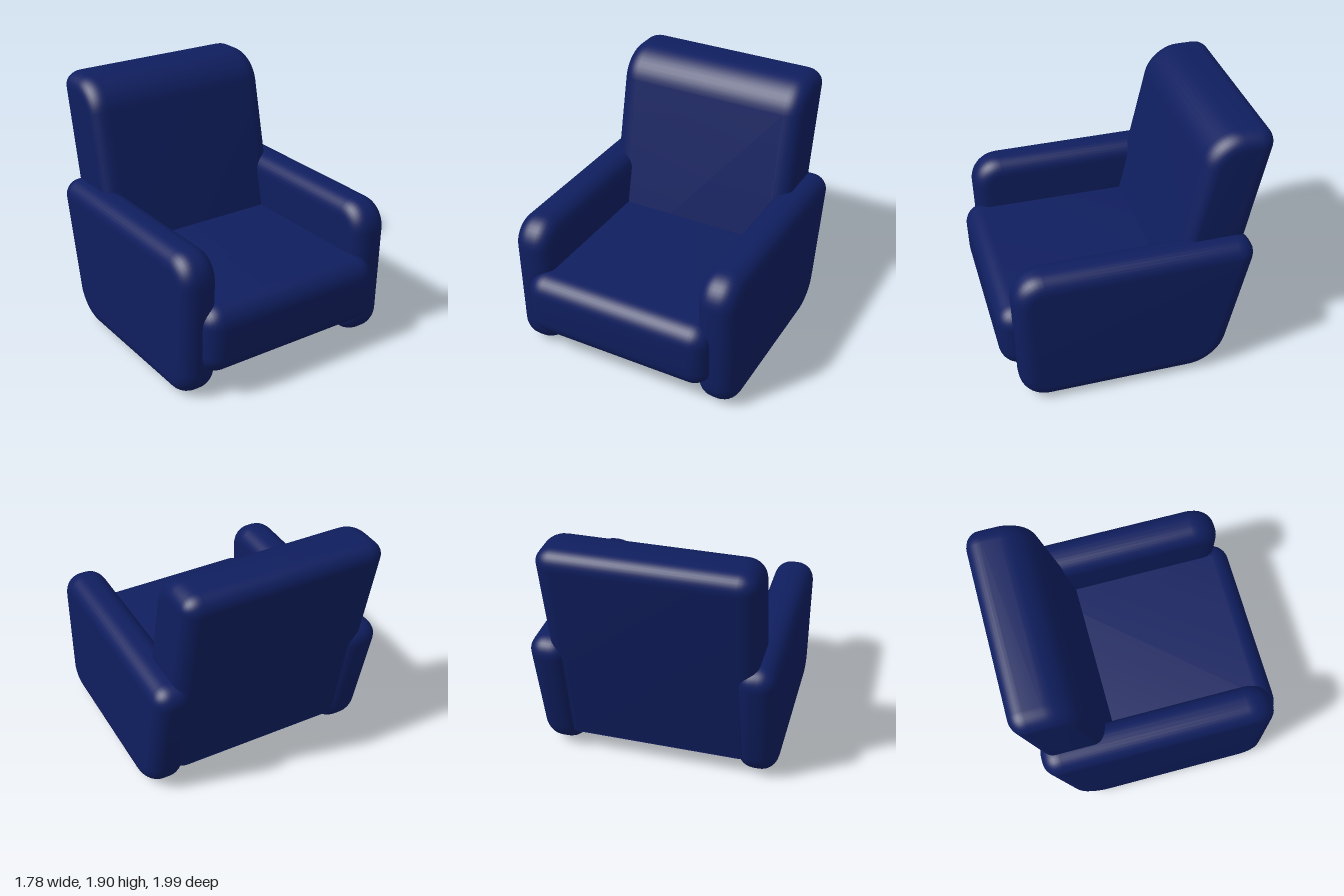
import * as THREE from 'three';
import { toCreasedNormals } from 'three/addons/utils/BufferGeometryUtils.js';

const fabric = new THREE.MeshStandardMaterial({ color: 0x0f1e5f });

// Closed side profile from corners [z, y, rounding length]
function roundedProfile(corners) {
  const shape = new THREE.Shape();
  const n = corners.length;
  corners.forEach(([z, y, t], i) => {
    const p = new THREE.Vector2(z, y);
    const toward = (j, d) => {
      const [qz, qy] = corners[(j + n) % n];
      return new THREE.Vector2(qz, qy).sub(p).setLength(d).add(p);
    };
    const a = toward(i - 1, t), b = toward(i + 1, t);
    if (i === 0) shape.moveTo(a.x, a.y);
    else shape.lineTo(a.x, a.y);
    if (t > 0) {
      const c = toward(i - 1, t * 0.45), d = toward(i + 1, t * 0.45);
      shape.bezierCurveTo(c.x, c.y, d.x, d.y, b.x, b.y);
    }
  });
  shape.closePath();
  return shape;
}

// Upholstered block: side profile swept across x with soft rounded edges
function cushion(name, corners, width, x, edgeWidth, edgeInset) {
  const depth = width - 2 * edgeWidth;
  const geometry = new THREE.ExtrudeGeometry(roundedProfile(corners), {
    depth,
    curveSegments: 10,
    bevelEnabled: true,
    bevelThickness: edgeWidth,
    bevelSize: edgeInset,
    bevelOffset: -edgeInset,
    bevelSegments: 8,
  });
  geometry.translate(0, 0, -depth / 2);
  geometry.rotateY(-Math.PI / 2);
  const mesh = new THREE.Mesh(toCreasedNormals(geometry, 0.6), fabric);
  mesh.name = name;
  mesh.position.x = x;
  return mesh;
}

export function createModel() {
  const chair = new THREE.Group();
  chair.name = 'armchair';

  // Seat, with a rounded front edge projecting past the arms
  chair.add(cushion('seat', [
    [-0.655, 0.19, 0], [0.985, 0.19, 0.15], [1.0, 0.71, 0.15], [-0.5, 0.7, 0],
  ], 1.485, -0.012, 0.14, 0.135));

  // Reclined backrest
  chair.add(cushion('backrest', [
    [-0.16, 0.2, 0], [-0.535, 1.9, 0.22], [-1.02, 1.9, 0.14], [-0.66, 0.2, 0],
  ], 1.5, -0.015, 0.13, 0.105));

  // Arms reaching down to the floor, sloped at the rear
  for (const side of [-1, 1]) {
    chair.add(cushion(side > 0 ? 'leftArm' : 'rightArm', [
      [0.88, 0.0, 0.2], [0.91, 1.095, 0.22], [-0.885, 1.095, 0.16], [-0.635, 0.0, 0.24],
    ], 0.292, side * 0.745, 0.125, 0.118));
  }

  return chair;
}
